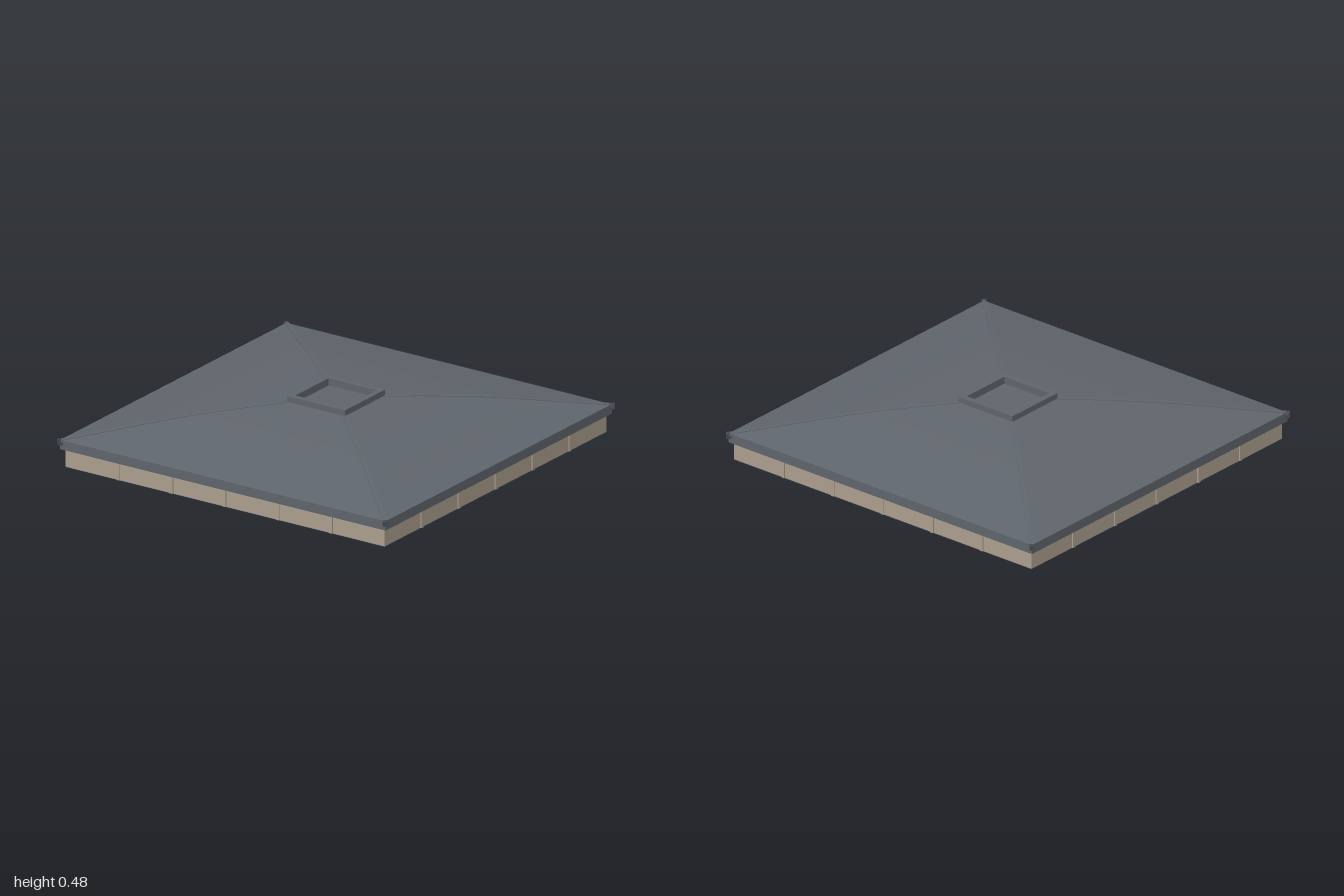
import * as THREE from 'three';

export function createModel() {
  const group = new THREE.Group();
  const mat = (name, color) => {
    const m = new THREE.MeshStandardMaterial({ color });
    m.name = name;
    return m;
  };
  const slate = mat('roof slate', 0x5f656c);
  const bracketSlate = mat('bracket slate', 0x535a61);
  const capSlate = mat('cap slate', 0x434a50);
  const stone = mat('wall stone', 0xab9d8d);
  const wood = mat('ceiling wood', 0xc08a48);

  const add = (name, geometry, material) => {
    const mesh = new THREE.Mesh(geometry, material);
    mesh.name = name;
    group.add(mesh);
    return mesh;
  };
  // square slab from half width and bottom / top heights
  const slab = (name, half, y0, y1, material) => {
    const mesh = add(name, new THREE.BoxGeometry(half * 2, y1 - y0, half * 2), material);
    mesh.position.y = (y0 + y1) / 2;
    return mesh;
  };

  // stepped underside, widening upward
  const steps = 17, top = 0.18, base = 0.001;
  const rise = (top - base) / steps;
  for (let i = 0; i < steps; i++) {
    slab('bracketStep', 0.312 + (0.59 * i) / (steps - 1), base + i * rise, base + (i + 1) * rise, bracketSlate);
  }
  // wooden ceiling panel on the two lowest undersides
  slab('ceilingPanel', 0.311, 0, base, wood);
  slab('ceilingBorder', 0.349, base + rise - 0.001, base + rise, wood);

  // wall band with battens and a dark soffit
  slab('soffit', 0.964, 0.178, 0.181, bracketSlate);
  slab('wallBand', 0.964, 0.181, 0.276, stone);
  for (let side = 0; side < 4; side++) {
    const wall = new THREE.Group();
    wall.name = 'wallBattens';
    wall.rotation.y = (side * Math.PI) / 2;
    for (let k = 1; k < 6; k++) {
      const batten = new THREE.Mesh(new THREE.BoxGeometry(0.018, 0.094, 0.012), stone);
      batten.name = 'batten';
      batten.position.set(-0.964 + (k * 1.928) / 6, 0.228, 0.965);
      wall.add(batten);
    }
    group.add(wall);
  }

  // eave board
  slab('eaveBoard', 0.983, 0.275, 0.325, slate);

  // curved four-sided roof
  const profile = new THREE.SplineCurve([
    [0.983, 0.325], [0.8, 0.36], [0.6, 0.399], [0.4, 0.428], [0.17, 0.45],
  ].map(([x, y]) => new THREE.Vector2(x, y))).getPoints(20);
  const roofPoints = profile.map(p => new THREE.Vector2(p.x * Math.SQRT2, p.y));
  const roof = new THREE.LatheGeometry(roofPoints, 4, Math.PI / 4).toNonIndexed();
  roof.computeVertexNormals();
  add('roof', roof, slate);

  // hip ribs along the four diagonals, each with a corner cap
  const ribPoints = [
    ...roofPoints.map(p => new THREE.Vector2(p.x, p.y + 0.002)),
    ...roofPoints.slice().reverse().map(p => new THREE.Vector2(p.x, p.y - 0.012)),
  ];
  const ribGeometry = new THREE.ExtrudeGeometry(new THREE.Shape(ribPoints), { depth: 0.024, bevelEnabled: false });
  ribGeometry.translate(0, 0, -0.012);
  const capGeometry = new THREE.BoxGeometry(0.032, 0.028, 0.024);
  capGeometry.translate(1.388, 0.314, 0);
  for (let i = 0; i < 4; i++) {
    const angle = Math.PI / 4 + (i * Math.PI) / 2;
    add('hipRib', ribGeometry, slate).rotation.y = angle;
    add('cornerCap', capGeometry, capSlate).rotation.y = angle;
  }

  // open square crown with a sunken floor
  const square = (Type, h) => new Type([[-h, -h], [h, -h], [h, h], [-h, h]].map(([x, y]) => new THREE.Vector2(x, y)));
  const crownShape = square(THREE.Shape, 0.175);
  crownShape.holes.push(square(THREE.Path, 0.145));
  const crown = new THREE.ExtrudeGeometry(crownShape, { depth: 0.05, bevelEnabled: false });
  crown.rotateX(-Math.PI / 2);
  add('crownFrame', crown, slate).position.y = 0.43;
  slab('crownFloor', 0.16, 0.432, 0.442, slate);

  return group;
}
